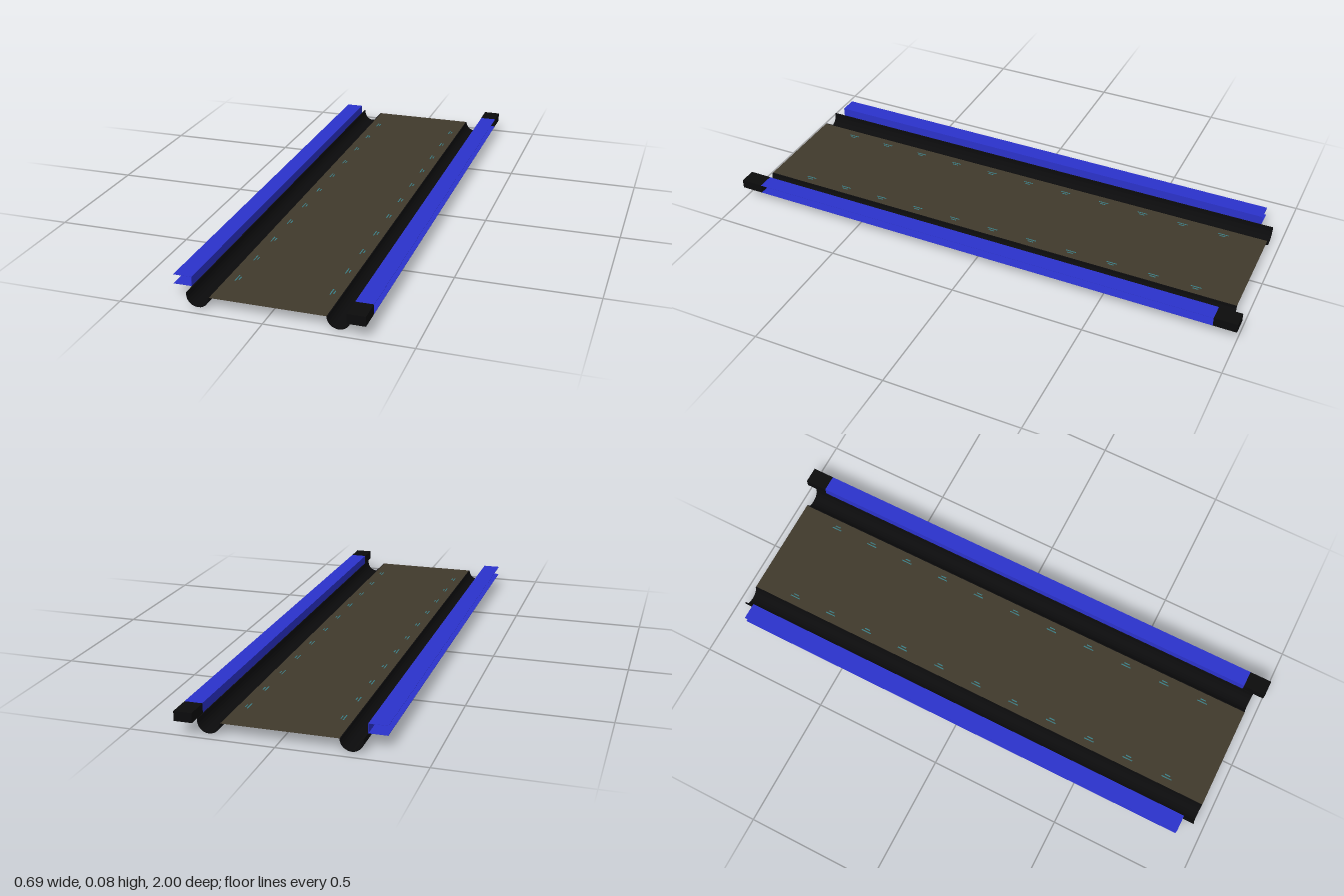
import * as THREE from 'three';

const material = (name, color, side = THREE.FrontSide) => {
  const m = new THREE.MeshStandardMaterial({ color, side });
  m.name = name;
  return m;
};

export function createModel() {
  const brown = material('deck brown', 0x40392c, THREE.DoubleSide);
  const black = material('gutter black', 0x0b0b0c);
  const blue = material('rail blue', 0x2b32cb);
  const teal = material('marker teal', 0x3a8088);

  const model = new THREE.Group();
  model.name = 'lane';
  const HALF = 0.96; // half length of deck and gutters
  const RAIL = 1.83; // rail length
  const LOW = 0.048, HIGH = 0.082, SHEET = 0.001;

  const add = (parent, name, geometry, mat, x = 0, y = 0, z = 0) => {
    const mesh = new THREE.Mesh(geometry, mat);
    mesh.name = name;
    mesh.position.set(x, y, z);
    parent.add(mesh);
    return mesh;
  };
  const box = (parent, name, mat, w, h, d, x, y, z = 0) =>
    add(parent, name, new THREE.BoxGeometry(w, h, d), mat, x, y, z);

  // Flat deck sheet between the gutters
  const deck = new THREE.PlaneGeometry(0.4, HALF * 2).rotateX(-Math.PI / 2);
  add(model, 'deck', deck, brown, 0, 0.04, 0);

  // Half-round gutter wall, taller on the outer side (mirrored by sign)
  const gutterGeometry = (sign) => {
    const cx = 0.24, cy = 0.04, steps = 12;
    const outer = [], inner = [];
    for (let i = 0; i <= steps; i++) {
      const a = Math.PI + (Math.PI * i) / steps;
      const c = Math.cos(a), s = Math.sin(a);
      outer.push(new THREE.Vector2(sign * (cx + 0.04 * c), cy + 0.04 * s));
      inner.push(new THREE.Vector2(sign * (cx + 0.0365 * c), cy + 0.0365 * s));
    }
    outer.push(new THREE.Vector2(sign * 0.28, LOW));
    inner.push(new THREE.Vector2(sign * 0.2765, LOW));
    const shape = new THREE.Shape([...outer, ...inner.reverse()]);
    return new THREE.ExtrudeGeometry(shape, { depth: HALF * 2, bevelEnabled: false });
  };

  for (const [side, sign] of [['left', 1], ['right', -1]]) {
    add(model, side + 'Gutter', gutterGeometry(sign), black, 0, 0, -HALF);

    // Thin channel rail, open to the outside
    const rail = new THREE.Group();
    rail.name = side + 'Rail';
    model.add(rail);
    const width = sign > 0 ? 0.062 : 0.065;
    const x = sign * (0.28 + width / 2);
    box(rail, 'topFlange', blue, width, SHEET, RAIL, x, HIGH - SHEET / 2);
    box(rail, 'bottomFlange', blue, width, SHEET, RAIL, x, LOW + SHEET / 2);
    box(rail, 'web', blue, SHEET, HIGH - LOW - 2 * SHEET, RAIL, sign * 0.2805, (LOW + HIGH) / 2);
  }

  // Solid end blocks on the left rail only
  for (const [name, sign] of [['frontEndBlock', 1], ['backEndBlock', -1]]) {
    box(model, name, black, 0.063, HIGH - LOW, 0.085, 0.3105, (LOW + HIGH) / 2, sign * 0.9575);
  }

  // Small markers set flush in both edges of the deck
  for (let i = -5; i <= 5; i++) {
    for (const x of [-0.168, 0.163]) {
      const marker = new THREE.Group();
      marker.name = 'deckMarker';
      marker.position.set(x, 0.04, i * 0.16);
      model.add(marker);
      box(marker, 'longDash', teal, 0.004, 0.001, 0.04, 0, 0);
      box(marker, 'shortDash', teal, 0.004, 0.001, 0.022, 0.01, 0);
    }
  }
  return model;
}
